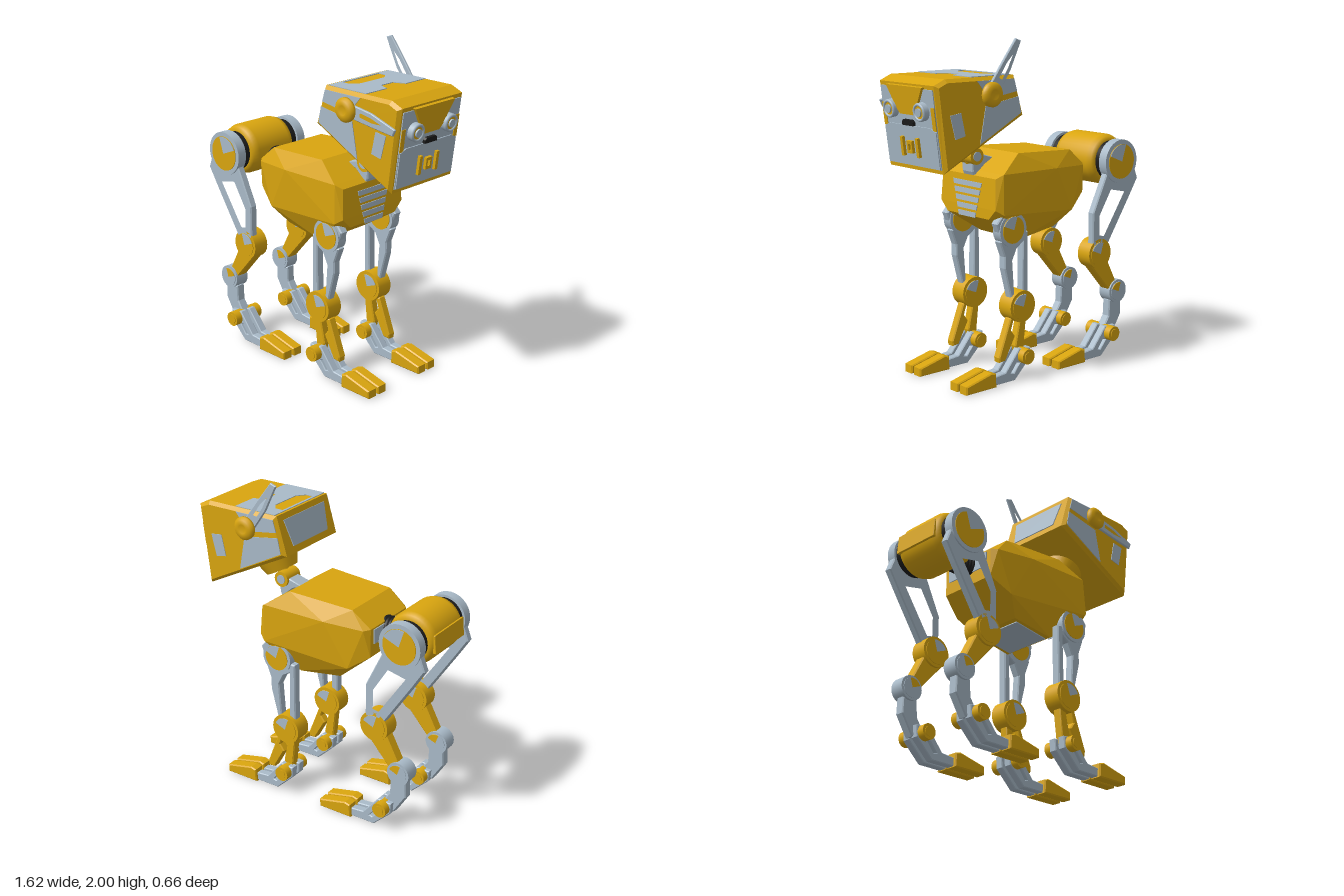
import * as THREE from 'three';
import { ConvexGeometry } from 'three/addons/geometries/ConvexGeometry.js';

const material = (name, color) => Object.assign(new THREE.MeshStandardMaterial({ color }), { name });

export function createModel() {
  const model = new THREE.Group();
  model.name = 'robotDog';
  const gold = material('gold', 0xd9a50f);
  const grey = material('grey', 0xa9bac8);
  const black = material('black', 0x1c1c1c);

  const add = (parent, name, geometry, mat, x = 0, y = 0, z = 0) => {
    const mesh = new THREE.Mesh(geometry, mat);
    mesh.name = name;
    mesh.position.set(x, y, z);
    parent.add(mesh);
    return mesh;
  };
  const outline = (pts, hole) => {
    const shape = new THREE.Shape(pts.map(p => new THREE.Vector2(...p)));
    if (hole) shape.holes.push(new THREE.Path(hole.map(p => new THREE.Vector2(...p))));
    return shape;
  };
  // bevelled slab drawn in x/y and centred on z
  const slab = (parent, name, pts, z, width, mat, hole, bevel = 0.007) => {
    const geo = new THREE.ExtrudeGeometry(outline(pts, hole), {
      depth: width - 2 * bevel, bevelThickness: bevel, bevelSize: bevel, bevelOffset: -bevel, bevelSegments: 1,
    });
    return add(parent, name, geo, mat, 0, 0, z - width / 2 + bevel);
  };
  // flat panel rising by t from its drawing plane
  const panel = (parent, name, pts, mat, t = 0.006, hole) =>
    add(parent, name, new THREE.ExtrudeGeometry(outline(pts, hole), { depth: t, bevelEnabled: false }), mat);
  const rect = (u, v, w, h) => [[u - w / 2, v - h / 2], [u + w / 2, v - h / 2], [u + w / 2, v + h / 2], [u - w / 2, v + h / 2]];
  // cylinder lying along z
  const disc = (parent, name, x, y, z, r, width, mat, start = 0, sweep = Math.PI * 2) => {
    const geo = new THREE.CylinderGeometry(r, r, width, 32, 1, false, start, sweep).rotateX(Math.PI / 2);
    return add(parent, name, geo, mat, x, y, z);
  };
  // rim, coloured insert and a wedge on both ends
  const joint = (parent, name, x, y, z, r, width, base, insert, wedge) => {
    disc(parent, name, x, y, z, r, width, base);
    disc(parent, name + 'Insert', x, y, z, r * 0.8, width + 0.008, insert);
    disc(parent, name + 'Wedge', x, y, z, r * 0.78, width + 0.016, wedge, 1.95, 1.5);
  };
  const frame = (parent, name, x, y, tilt, turn) => {
    const outer = new THREE.Group(), inner = new THREE.Group();
    outer.name = name;
    outer.position.set(x, y, 0);
    outer.rotation.z = tilt;
    inner.rotation.y = turn;
    outer.add(inner);
    parent.add(outer);
    return inner;
  };

  // body: mirrored corner points wrapped into a faceted shell
  const corners = [
    [-0.28, 1.32, 0.2], [0.145, 1.34, 0.22], [0.3, 1.235, 0.272], [0.335, 1.21, 0.24], [0.345, 1.03, 0.25],
    [0.345, 0.97, 0.19], [0.3, 1.0, 0.275], [0.1, 0.82, 0.18], [-0.18, 0.86, 0.17], [-0.4, 1.225, 0.19],
    [-0.4, 1.05, 0.19], [-0.37, 1.22, 0.225], [-0.12, 1.23, 0.265], [-0.27, 0.96, 0.235],
  ];
  add(model, 'body', new ConvexGeometry(corners.flatMap(([x, y, z]) =>
    [new THREE.Vector3(x, y, z), new THREE.Vector3(x, y, -z)])), gold);
  const chest = frame(model, 'chestVent', 0.346, 1.07, 0.025, Math.PI / 2);
  for (let i = 0; i < 5; i++) {
    const v = 0.09 - i * 0.045, w = 0.13 - i * 0.012;
    panel(chest, 'ventSlat', [[-w, v + 0.015], [w, v + 0.015], [w - 0.008, v - 0.015], [-w + 0.008, v - 0.015]], grey, 0.005);
  }
  const rump = frame(model, 'rearPanel', -0.4, 1.14, 0, -Math.PI / 2);
  panel(rump, 'rearPlate', rect(0, 0.03, 0.32, 0.09), grey);
  const belly = frame(model, 'bellyPanel', -0.03, 0.838, -0.142, 0);
  panel(belly, 'bellyPlate', rect(0, 0, 0.24, 0.3), grey).rotation.x = Math.PI / 2;

  // waist bellows
  for (let i = 0; i < 6; i++) {
    add(model, 'bellowsRing', new THREE.TorusGeometry(0.053, 0.016, 8, 28).rotateY(Math.PI / 2), black, -0.505 + i * 0.023, 1.175, 0);
  }
  add(model, 'bellowsCore', new THREE.CylinderGeometry(0.055, 0.055, 0.18, 24).rotateZ(Math.PI / 2), black, -0.46, 1.175, 0);

  // hip drum with rounded rims
  const drum = [[0, -0.175], [0.12, -0.175], [0.145, -0.16], [0.157, -0.125], [0.157, 0.125], [0.145, 0.16], [0.12, 0.175], [0, 0.175]];
  add(model, 'hipDrum', new THREE.LatheGeometry(drum.map(p => new THREE.Vector2(...p)), 40).rotateX(Math.PI / 2), gold, -0.645, 1.22, 0);
  slab(model, 'drumTab', [[-0.81, 1.17], [-0.79, 1.17], [-0.79, 1.28], [-0.8, 1.28]], 0, 0.32, gold, undefined, 0.003);
  disc(model, 'hipCollar', -0.645, 1.22, 0, 0.12, 0.45, black);

  // two-toed foot hung from its ankle
  const foot = (x, z) => {
    const g = new THREE.Group();
    g.name = 'foot';
    g.position.set(x, 0.145, z);
    model.add(g);
    for (const s of [-1, 1]) {
      disc(g, 'anklePivot', 0, 0, s * 0.06, 0.046, 0.09, gold);
      disc(g, 'ankleCap', 0, 0, s * 0.06, 0.03, 0.098, gold);
      slab(g, 'instep', [[-0.055, 0.04], [-0.05, -0.03], [0.065, -0.14], [0.25, -0.14], [0.25, -0.09], [0.14, -0.08], [0.035, 0.045]],
        s * 0.035, 0.05, grey, [[0.03, -0.04], [0.075, -0.095], [0.095, -0.09], [0.05, -0.035]], 0.005);
      slab(g, 'toe', [[0.22, -0.145], [0.445, -0.145], [0.445, -0.095], [0.26, -0.052], [0.225, -0.062]], s * 0.042, 0.072, gold);
    }
    disc(g, 'anklePin', 0, 0, 0, 0.028, 0.12, grey);
  };

  for (const s of [-1, 1]) {
    const z = s * 0.22;
    // back leg
    joint(model, 'hip', -0.645, 1.22, s * 0.25, 0.135, 0.06, grey, gold, grey);
    slab(model, 'backThigh', [[-0.805, 1.1], [-0.77, 1.19], [-0.53, 1.15], [-0.42, 0.92], [-0.42, 0.72], [-0.5, 0.64], [-0.55, 0.71], [-0.735, 0.99]],
      s * 0.245, 0.05, grey, [[-0.695, 1.03], [-0.565, 1.06], [-0.465, 0.9], [-0.465, 0.77], [-0.515, 0.76]]);
    joint(model, 'backKnee', -0.48, 0.66, z, 0.093, 0.1, gold, gold, grey);
    slab(model, 'backShin', [[-0.555, 0.62], [-0.64, 0.46], [-0.63, 0.39], [-0.57, 0.42], [-0.41, 0.6], [-0.47, 0.68]], z, 0.07, gold);
    joint(model, 'backHock', -0.647, 0.395, z, 0.073, 0.09, grey, grey, gold);
    slab(model, 'backShank', [[-0.69, 0.37], [-0.695, 0.24], [-0.62, 0.12], [-0.52, 0.14], [-0.585, 0.24], [-0.59, 0.34]], z, 0.06, grey);
    foot(-0.56, z);

    // front leg
    slab(model, 'shoulderBracket', [[0.26, 1.04], [0.34, 0.95], [0.29, 0.83], [0.13, 0.85], [0.16, 0.95]], s * 0.23, 0.055, grey);
    joint(model, 'shoulder', 0.22, 0.905, s * 0.23, 0.1, 0.065, grey, gold, grey);
    slab(model, 'frontThigh', [[0.095, 0.88], [0.095, 0.47], [0.22, 0.47], [0.275, 0.68], [0.275, 0.75], [0.31, 0.84], [0.22, 0.9]],
      s * 0.225, 0.055, grey, [[0.135, 0.82], [0.14, 0.52], [0.2, 0.52], [0.215, 0.72], [0.18, 0.79]]);
    joint(model, 'frontKnee', 0.155, 0.44, z, 0.095, 0.105, gold, gold, grey);
    slab(model, 'frontShin', [[0.1, 0.42], [0.125, 0.16], [0.17, 0.12], [0.19, 0.2], [0.155, 0.36]], z, 0.055, gold);
    slab(model, 'frontCalf', [[0.19, 0.4], [0.23, 0.37], [0.315, 0.15], [0.31, 0.12], [0.265, 0.125], [0.19, 0.26], [0.22, 0.3]], z, 0.055, gold);
    foot(0.155, z);
  }

  // neck
  slab(model, 'neckBase', [[0.18, 1.3], [0.25, 1.27], [0.33, 1.2], [0.345, 1.23], [0.35, 1.32], [0.31, 1.34]], 0, 0.1, grey);
  disc(model, 'neckPivot', 0.325, 1.32, 0, 0.048, 0.13, gold);
  disc(model, 'neckPivotCap', 0.325, 1.32, 0, 0.028, 0.14, grey);
  const rod = add(model, 'neckRod', new THREE.CylinderGeometry(0.035, 0.035, 0.16, 20), gold, 0.36, 1.36, 0);
  rod.rotation.z = -0.5;
  const swivel = add(model, 'headSwivel', new THREE.CylinderGeometry(0.145, 0.1, 0.12, 32), gold, 0.39, 1.415, 0);
  swivel.rotation.z = -0.474;

  // head shell and side panels
  slab(model, 'head', [[0.21, 1.797], [0.7, 1.797], [0.775, 1.765], [0.71, 1.277], [0.14, 1.565]], 0, 0.536, gold, undefined, 0.02);
  for (const s of [-1, 1]) {
    const side = (name, pts) => { panel(model, name, pts, grey, 0.005).position.z = s > 0 ? 0.267 : -0.272; };
    side('upperCheek', [[0.222, 1.777], [0.49, 1.777], [0.45, 1.73], [0.43, 1.67], [0.2, 1.705]]);
    side('lowerCheek', [[0.19, 1.675], [0.43, 1.635], [0.47, 1.425], [0.4, 1.46], [0.17, 1.58]]);
    side('cheekVent', [[0.605, 1.61], [0.68, 1.6], [0.645, 1.465], [0.575, 1.48]]);
    // ear hub, domed outwards
    const hub = [[0.045, 0], [0.055, 0.02], [0.07, 0.026], [0.07, 0.042], [0.055, 0.058], [0.03, 0.062], [0.028, 0.056], [0, 0.056]];
    const dome = new THREE.LatheGeometry(hub.map(p => new THREE.Vector2(...p)), 28).rotateX(s * Math.PI / 2);
    add(model, 'earHub', dome, gold, 0.405, 1.7, s * 0.264);
    // ears: one folded forward, one raised
    const ear = new THREE.Group();
    ear.name = 'ear';
    ear.position.set(0.4, 1.7, s * 0.28);
    ear.rotation.z = s > 0 ? -0.19 : 2.16;
    model.add(ear);
    slab(ear, 'earBlade', [[0, -0.04], [0, 0.04], [0.18, 0.045], [0.36, 0.02], [0.35, -0.02], [0.2, -0.03]], 0, 0.018, grey,
      [[0.1, -0.01], [0.1, 0.022], [0.18, 0.024], [0.27, 0.01], [0.2, -0.008]], 0.004);
  }

  // top panels
  const crown = frame(model, 'headTop', 0, 1.796, 0, 0);
  const top = panel(crown, 'crownPanel', [[0.225, -0.245], [0.51, -0.245], [0.51, -0.08], [0.44, -0.05], [0.44, 0.05], [0.51, 0.08], [0.51, 0.245], [0.225, 0.245]],
    grey, 0.005, [[0.24, -0.15], [0.29, -0.15], [0.33, -0.1], [0.33, 0.1], [0.29, 0.15], [0.24, 0.15]]);
  top.rotation.x = -Math.PI / 2;

  // back of the head
  const nape = frame(model, 'headBack', 0.1755, 1.681, -0.293, -Math.PI / 2);
  panel(nape, 'napePanel', [[-0.2, 0.085], [0.2, 0.085], [0.17, -0.08], [-0.17, -0.08]], grey);

  // face
  const face = frame(model, 'face', 0.7425, 1.521, -0.1325, Math.PI / 2);
  panel(face, 'facePlate', rect(0, 0, 0.48, 0.445), grey);
  panel(face, 'muzzle', [[-0.235, -0.22], [0.235, -0.22], [0.235, -0.01], [0.19, 0.01], [-0.19, 0.01], [-0.235, -0.01]], grey, 0.012);
  panel(face, 'brow', [[-0.165, 0.235], [0.165, 0.235], [0.085, 0.1], [0.06, 0.075], [-0.06, 0.075], [-0.085, 0.1]], gold, 0.022);
  panel(face, 'nose', [[-0.05, 0.012], [0.05, 0.012], [0.05, 0.032], [0.038, 0.044], [-0.038, 0.044], [-0.05, 0.032]], black, 0.024);
  for (const s of [-1, 1]) {
    panel(face, 'cheekNotch', rect(s * 0.225, 0.06, 0.03, 0.13), gold, 0.01);
    panel(face, 'mouthBar', rect(s * 0.07, -0.11, 0.022, 0.11), gold, 0.03);
    disc(face, 'eyeSocket', s * 0.14, 0.1, 0.015, 0.052, 0.04, grey);
    disc(face, 'eyeIris', s * 0.14, 0.1, 0.02, 0.036, 0.036, gold);
    disc(face, 'eyeLens', s * 0.14, 0.1, 0.025, 0.024, 0.046, grey);
    add(face, 'eyeRim', new THREE.TorusGeometry(0.044, 0.009, 8, 28), grey, s * 0.14, 0.1, 0.036);
  }
  panel(face, 'mouthPlate', rect(0, -0.11, 0.048, 0.07), gold, 0.03, rect(0, -0.11, 0.02, 0.035));

  return model;
}
